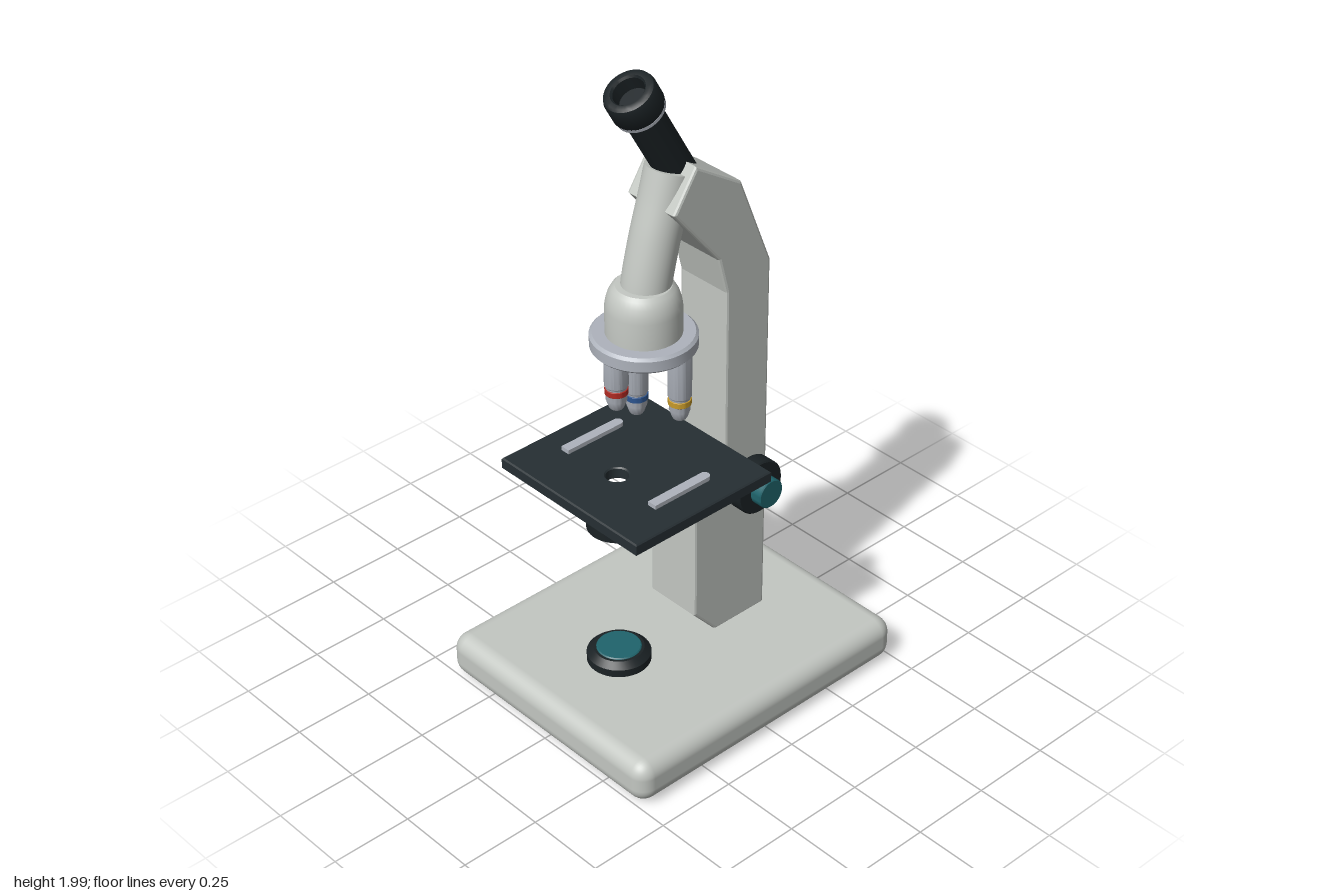
import * as THREE from 'three';
import { toCreasedNormals } from 'three/addons/utils/BufferGeometryUtils.js';
import { RoundedBoxGeometry } from 'three/addons/geometries/RoundedBoxGeometry.js';

const mat = (color) => new THREE.MeshStandardMaterial({ color });
const PAINT = mat(0xc3c7c2), METAL = mat(0xaeb3bc), BLACK = mat(0x1b2225), STAGE = mat(0x262f33),
  TEAL = mat(0x1f646c), RED = mat(0xb02a22), YELLOW = mat(0xc79a2a), BLUE = mat(0x2c5590);

function part(parent, name, geometry, material, x = 0, y = 0, z = 0) {
  const mesh = new THREE.Mesh(geometry, material);
  mesh.name = name;
  mesh.position.set(x, y, z);
  parent.add(mesh);
  return mesh;
}

// Turned part from [radius, height] pairs, listed bottom to top
function turned(points, sides = 40) {
  const profile = points.map(([r, y]) => new THREE.Vector2(r, y));
  return toCreasedNormals(new THREE.LatheGeometry(profile, sides), 0.6);
}

// Cylinder between two heights with slightly bevelled rims
function disc(r, y0, y1, b = 0.006) {
  return turned([[0, y0], [r - b, y0], [r, y0 + b], [r, y1 - b], [r - b, y1], [0, y1]]);
}

function polygon(points) {
  return new THREE.Shape(points.map(([a, b]) => new THREE.Vector2(a, b)));
}

export function createModel() {
  const model = new THREE.Group();
  model.name = 'microscope';

  // Base and feet
  part(model, 'base', new RoundedBoxGeometry(0.84, 0.138, 1.01, 5, 0.05), PAINT, 0, 0.072, 0);
  for (const x of [-0.32, 0.32]) for (const z of [-0.29, 0.29])
    part(model, 'foot', disc(0.055, 0, 0.02, 0.002), BLACK, x, 0, z);

  // Arm: side profile in (z, y), extruded across x
  const armProfile = polygon([
    [-0.085, 0.135], [-0.28, 0.135], [-0.28, 1.325], [-0.165, 1.61], [0, 1.715], [0.08, 1.595],
    [-0.085, 1.395], [-0.115, 1.28], [-0.115, 0.775], [0, 0.705], [0, 0.23],
  ]);
  const bevel = 0.008, armWidth = 0.186;
  const arm = new THREE.ExtrudeGeometry(armProfile, {
    depth: armWidth - 2 * bevel, bevelThickness: bevel, bevelSize: bevel, bevelOffset: -bevel, bevelSegments: 2,
  });
  arm.translate(0, 0, bevel - armWidth / 2).rotateY(-Math.PI / 2);
  part(model, 'arm', arm, PAINT);

  // Head: leaning tube with a closed top, on a rounded collar
  const path = new THREE.CatmullRomCurve3([
    [1.27, 0.108], [1.36, 0.097], [1.49, 0.066], [1.6, 0.033], [1.682, 0.01],
  ].map(([y, z]) => new THREE.Vector3(0, y, z)));
  part(model, 'headTube', new THREE.TubeGeometry(path, 24, 0.07, 36), PAINT);
  const cap = part(model, 'headTubeTop', new THREE.CircleGeometry(0.07, 36), PAINT);
  cap.position.copy(path.getPoint(1));
  cap.lookAt(path.getPoint(1).add(path.getTangent(1)));
  part(model, 'headCollar', turned([
    [0, 1.205], [0.107, 1.205], [0.107, 1.295], [0.104, 1.315], [0.098, 1.335], [0.088, 1.353],
    [0.078, 1.362], [0, 1.365],
  ]), PAINT, 0, 0, 0.107);

  // Eyepiece: origin at the centre of its open end
  const eyepiece = new THREE.Group();
  eyepiece.name = 'eyepiece';
  eyepiece.position.set(0, 1.96, 0.157);
  eyepiece.rotation.x = Math.PI / 6;
  model.add(eyepiece);
  part(eyepiece, 'eyepieceTube', disc(0.054, -0.38, -0.06, 0.001), BLACK);
  part(eyepiece, 'eyepieceRing', disc(0.071, -0.09, -0.075, 0.003), METAL);
  part(eyepiece, 'eyepieceCup', turned([
    [0, -0.077], [0.071, -0.077], [0.074, -0.07], [0.074, -0.015], [0.07, -0.004], [0.063, 0],
    [0.05, 0], [0.045, -0.006], [0.042, -0.045], [0, -0.045],
  ]), BLACK);

  // Revolving nosepiece with three objectives
  const nose = new THREE.Group();
  nose.name = 'nosepiece';
  nose.position.set(0, 0, 0.107);
  model.add(nose);
  part(nose, 'nosepieceDisc', disc(0.15, 1.167, 1.215, 0.008), METAL);
  const objectives = [
    { name: 'shortObjective', angle: 90, tip: 1.01, band: RED },
    { name: 'mediumObjective', angle: -30, tip: 0.95, band: YELLOW },
    { name: 'longObjective', angle: 210, tip: 0.882, band: BLUE },
  ];
  for (const { name, angle, tip, band } of objectives) {
    const a = THREE.MathUtils.degToRad(angle), x = 0.102 * Math.cos(a), z = 0.102 * Math.sin(a);
    part(nose, name, turned([
      [0, tip], [0.018, tip], [0.022, tip + 0.006], [0.03, tip + 0.03], [0.03, tip + 0.07],
      [0.034, tip + 0.076], [0.034, 1.18], [0, 1.18],
    ], 28), METAL, x, 0, z);
    part(nose, name + 'Band', disc(0.033, tip + 0.048, tip + 0.066, 0.001), band, x, 0, z);
  }

  // Stage plate with a light hole, shape drawn in (x, -z)
  const plate = polygon([[-0.28, -0.393], [0.28, -0.393], [0.28, 0.113], [-0.28, 0.113]]);
  plate.holes.push(new THREE.Path().absarc(0, -0.21, 0.033, 0, Math.PI * 2, true));
  const b = 0.004;
  const stage = new THREE.ExtrudeGeometry(plate, {
    depth: 0.038 - 2 * b, bevelThickness: b, bevelSize: b, bevelOffset: -b, bevelSegments: 1, curveSegments: 24,
  });
  part(model, 'stage', stage.rotateX(-Math.PI / 2), STAGE, 0, 0.748 + b, 0);

  // Stage clips, rounded at the back
  const clip = new THREE.Shape();
  clip.moveTo(-0.015, -0.245);
  clip.lineTo(0.015, -0.245);
  clip.lineTo(0.015, -0.047);
  clip.absarc(0, -0.047, 0.015, 0, Math.PI, false);
  for (const x of [-0.18, 0.18]) {
    const geometry = new THREE.ExtrudeGeometry(clip, { depth: 0.014, bevelEnabled: false });
    part(model, 'stageClip', geometry.rotateX(-Math.PI / 2), METAL, x, 0.785, 0);
  }

  // Condenser under the stage and lamp on the base
  part(model, 'condenser', turned([
    [0, 0.615], [0.088, 0.615], [0.088, 0.655], [0.062, 0.688], [0, 0.688],
  ]), BLACK, 0, 0, 0.212);
  part(model, 'lampHousing', turned([
    [0, 0.135], [0.094, 0.135], [0.094, 0.165], [0.074, 0.182], [0, 0.182],
  ]), BLACK, 0, 0, 0.212);
  part(model, 'lampGlass', disc(0.066, 0.175, 0.186, 0.003), TEAL, 0, 0, 0.212);

  // Focus knobs on the left side, turned about x
  const knobs = new THREE.Group();
  knobs.name = 'focusKnobs';
  knobs.position.set(0, 0.655, -0.167);
  knobs.rotation.z = -Math.PI / 2;
  model.add(knobs);
  part(knobs, 'coarseKnob', disc(0.084, 0.135, 0.186, 0.004), BLACK);
  part(knobs, 'fineKnob', disc(0.045, 0.19, 0.229, 0.003), TEAL);

  return model;
}
